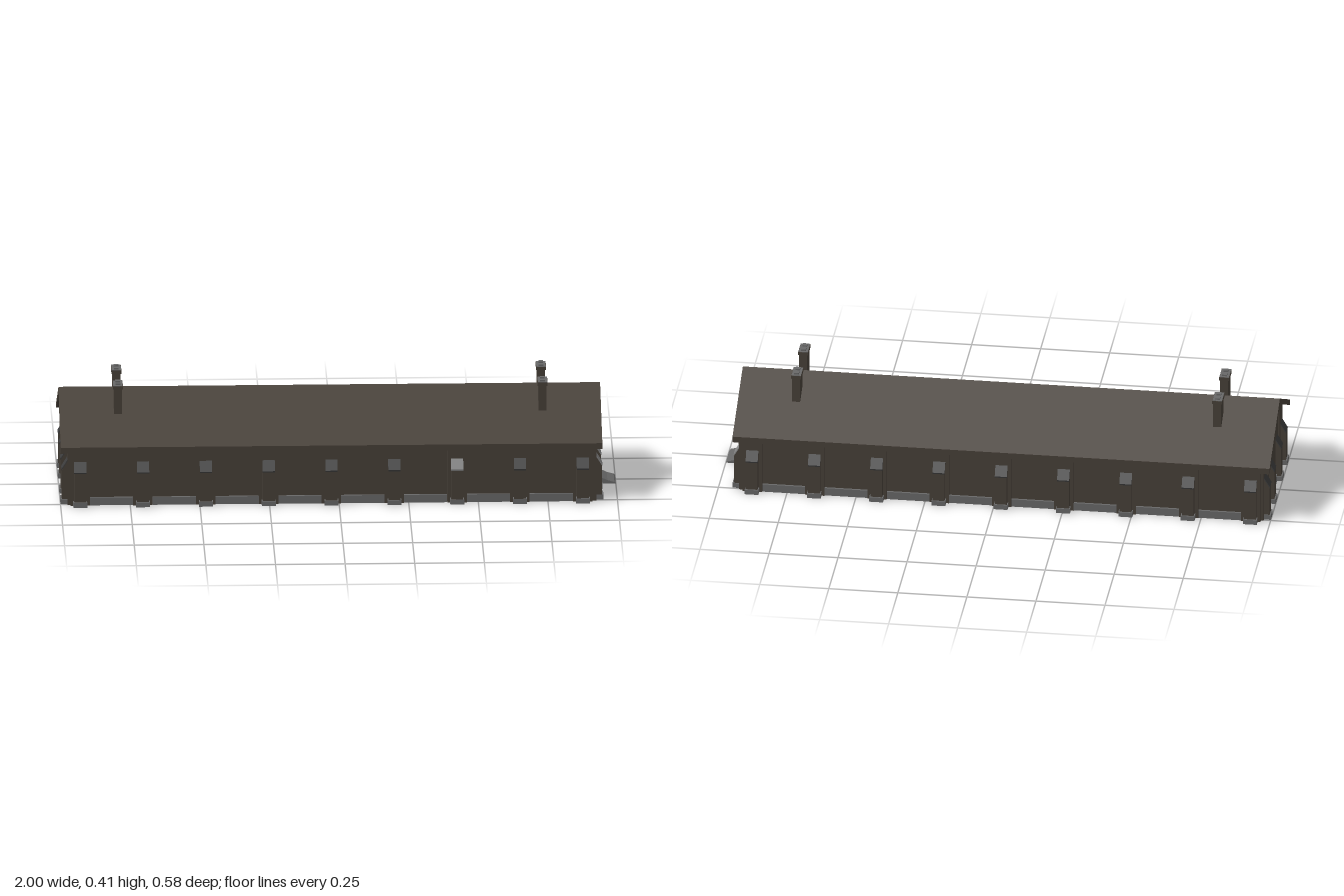
import * as THREE from 'three';

const mat = (name, color) => {
  const m = new THREE.MeshStandardMaterial({ color });
  m.name = name;
  return m;
};

export function createModel() {
  const brick = mat('brown brick', 0x474038);
  const stone = mat('grey stone', 0x686868);
  const pale = mat('pale stone', 0x848484);
  const slate = mat('dark slate', 0x3c3c3c);
  const root = new THREE.Group();

  const add = (parent, name, geo, material, x = 0, y = 0, z = 0) => {
    const m = new THREE.Mesh(geo, material);
    m.name = name;
    m.position.set(x, y, z);
    parent.add(m);
    return m;
  };
  const box = (parent, name, material, w, h, d, x, y, z) =>
    add(parent, name, new THREE.BoxGeometry(w, h, d), material, x, y + h / 2, z);
  const poly = pts => new THREE.Shape(pts.map(p => new THREE.Vector2(...p)));
  const extrude = (shape, depth) =>
    new THREE.ExtrudeGeometry(shape, { depth, bevelEnabled: false, curveSegments: 12 });
  // cross-section in z and y, stretched along x
  const alongX = (shape, depth) => extrude(shape, depth).rotateY(Math.PI / 2);
  // profile in outward z and y, centred across x
  const outward = (pts, width) =>
    extrude(poly(pts), width).translate(0, 0, -width / 2).rotateY(-Math.PI / 2);

  // walls: recessed core with thicker gable ends
  const gable = () => poly([[-0.255, 0], [0.255, 0], [0.255, 0.212], [0, 0.342], [-0.255, 0.212]]);
  add(root, 'wallCore', alongX(gable(), 1.88), brick, -0.965);
  const endShape = gable();
  for (const s of [-1, 1]) {
    endShape.holes.push(new THREE.Path(
      [[0.13, 0.012], [0.18, 0.012], [0.18, 0.225], [0.13, 0.25]].map(p => new THREE.Vector2(s * p[0], p[1]))));
  }
  for (const x of [-0.975, 0.915]) add(root, 'gableWall', alongX(endShape, 0.01), brick, x);

  // roof with level ridge and overhanging eaves
  const roof = poly([[-0.28, 0.2], [0, 0.342], [0.28, 0.2], [0.28, 0.222], [0, 0.365], [-0.28, 0.222]]);
  add(root, 'roof', alongX(roof, 1.945), brick, -1);

  // stepped pier with sloping cap and stone foot
  const buttress = (capMaterial) => {
    const g = new THREE.Group();
    g.name = 'buttress';
    add(g, 'buttressShaft', outward([[0, 0], [0.02, 0], [0.02, 0.125], [0, 0.16]], 0.043), brick);
    add(g, 'buttressCap', outward([[0, 0.159], [0.0205, 0.125], [0.0215, 0.13], [0, 0.165]], 0.044), capMaterial);
    box(g, 'buttressFoot', stone, 0.05, 0.018, 0.025, 0, 0, 0.0125);
    return g;
  };

  // long sides: pilasters, buttresses and plinths
  for (const s of [-1, 1]) {
    for (let i = 0; i < 9; i++) {
      const x = -0.93 + i * 0.2256;
      box(root, 'pilaster', brick, 0.07, 0.206, 0.014, x, 0, s * 0.26);
      const b = buttress(s > 0 && i === 6 ? pale : slate);
      b.position.set(x, 0, s * 0.267);
      if (s < 0) b.rotation.y = Math.PI;
      root.add(b);
      if (i < 8) box(root, 'sidePlinth', stone, 0.155, 0.029, 0.01, x + 0.1128, 0, s * 0.258);
    }
  }

  // gable ends: four buttresses and bay plinths
  for (const s of [-1, 1]) {
    const wallX = s > 0 ? 0.925 : -0.975;
    for (const z of [-0.22, -0.092, 0.092, 0.22]) {
      const b = buttress(s > 0 ? pale : slate);
      b.position.set(wallX, 0, z);
      b.rotation.y = s * Math.PI / 2;
      root.add(b);
    }
    for (const z of [-0.157, 0.157]) box(root, 'bayPlinth', stone, 0.012, 0.028, 0.072, wallX, 0, z);
    if (s > 0) {
      for (const z of [-0.058, 0.058]) box(root, 'doorPlinth', stone, 0.012, 0.028, 0.024, wallX, 0, z);
    } else box(root, 'endPlinth', stone, 0.012, 0.028, 0.13, wallX, 0, 0);
  }

  // arched door and sloping entrance step
  const door = new THREE.Shape();
  door.moveTo(-0.045, 0);
  door.lineTo(0.045, 0);
  door.lineTo(0.045, 0.118);
  door.absarc(0, 0.118, 0.045, 0, Math.PI, false);
  door.closePath();
  add(root, 'door', alongX(door, 0.004), pale, 0.924);
  const step = add(root, 'entranceStep',
    outward([[0, 0], [0.075, 0], [0.07, 0.005], [0.045, 0.012], [0.02, 0.024], [0, 0.027]], 0.102), stone, 0.925);
  step.rotation.y = Math.PI / 2;

  // paired chimneys with caps and pots
  for (const x of [-0.79, 0.735]) {
    for (const s of [-1, 1]) {
      const g = new THREE.Group();
      g.name = 'chimney';
      g.position.set(x, 0, s * 0.095);
      box(g, 'chimneyStack', brick, 0.029, 0.115, 0.064, 0, 0.28, 0);
      box(g, 'chimneyCollar', brick, 0.036, 0.012, 0.07, 0, 0.393, 0);
      box(g, 'chimneyTop', stone, 0.034, 0.002, 0.068, 0, 0.4045, 0);
      for (const z of [-0.017, 0.017]) box(g, 'chimneyPot', stone, 0.017, 0.007, 0.017, 0, 0.405, z);
      root.add(g);
    }
  }
  return root;
}
